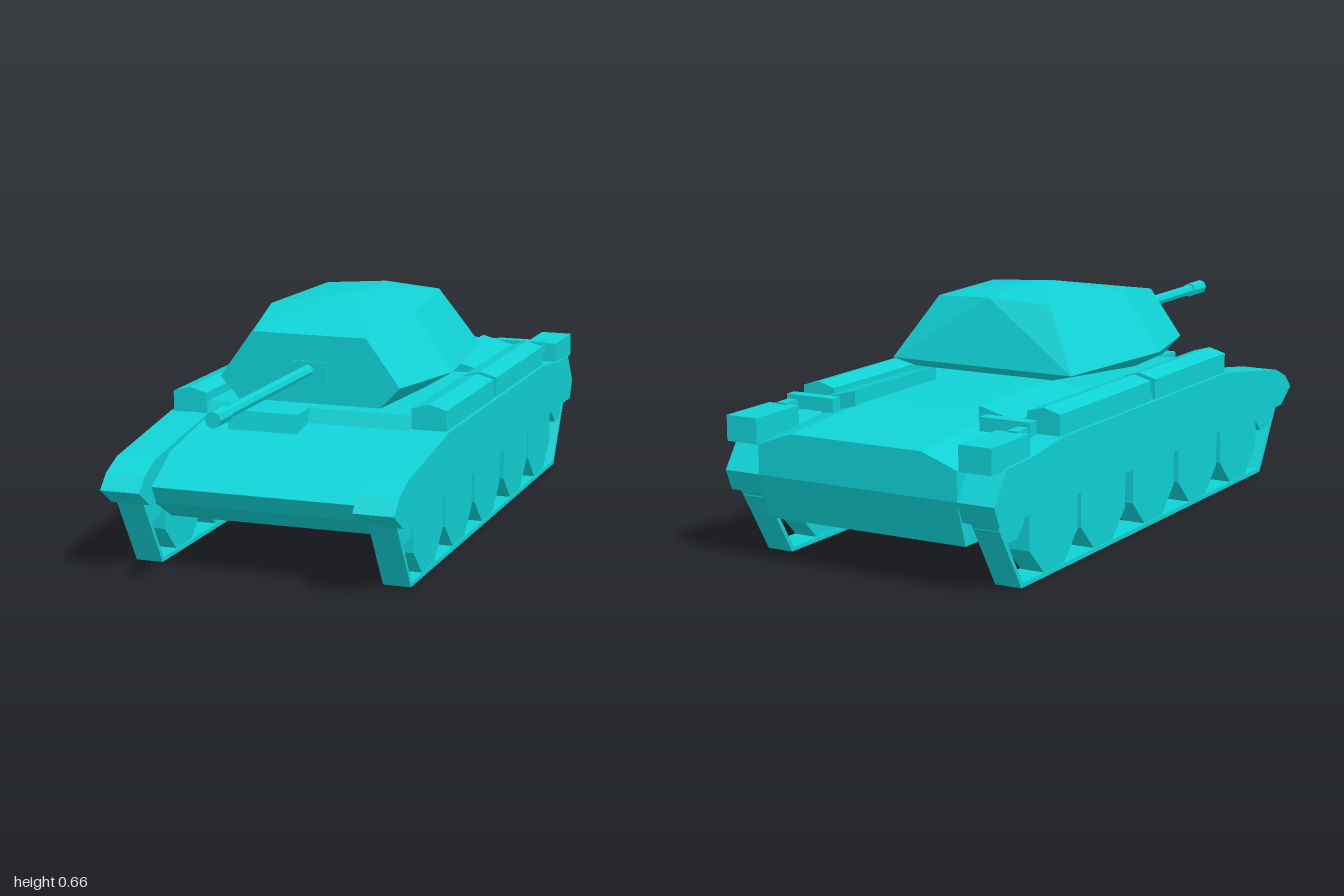
import * as THREE from 'three';
import { ConvexGeometry } from 'three/addons/geometries/ConvexGeometry.js';

const paint = new THREE.MeshStandardMaterial({ color: 0x10d2d5, flatShading: true });

function part(name, geometry, parent) {
  const mesh = new THREE.Mesh(geometry, paint);
  mesh.name = name;
  parent.add(mesh);
  return mesh;
}

const shapeOf = pts => new THREE.Shape(pts.map(p => new THREE.Vector2(p[0], p[1])));

// Side profile given as [z, y], extruded across x from x0 to x1
function acrossX(pts, x0, x1) {
  const g = new THREE.ExtrudeGeometry(shapeOf(pts), { depth: x1 - x0, bevelEnabled: false });
  return g.rotateY(-Math.PI / 2).translate(x1, 0, 0);
}

// Cross-section given as [x, y], extruded along z from z0 to z1
function alongZ(pts, z0, z1) {
  const g = new THREE.ExtrudeGeometry(shapeOf(pts), { depth: z1 - z0, bevelEnabled: false });
  return g.translate(0, 0, z0);
}

function box(x0, x1, y0, y1, z0, z1) {
  return new THREE.BoxGeometry(x1 - x0, y1 - y0, z1 - z0)
    .translate((x0 + x1) / 2, (y0 + y1) / 2, (z0 + z1) / 2);
}

// Faceted solid through points [x, y, z] and their mirror images about x = cx
function mirroredHull(pts, cx = 0) {
  const all = [];
  for (const [x, y, z] of pts) {
    all.push(new THREE.Vector3(cx + x, y, z));
    if (x !== 0) all.push(new THREE.Vector3(cx - x, y, z));
  }
  return new ConvexGeometry(all);
}

// Eight-sided wheel with a flat side down
function wheel(z, y, flat) {
  const r = flat / Math.cos(Math.PI / 8);
  return new THREE.CylinderGeometry(r, r, 0.07, 8)
    .rotateY(Math.PI / 8).rotateZ(Math.PI / 2).translate(0.36, y, z);
}

// Everything that repeats on each flank, built for the +x flank
function buildFlank() {
  const flank = new THREE.Group();
  part('fender', acrossX([
    [0.75, 0.192], [0.82, 0.24], [0.78, 0.28], [0.71, 0.31], [0.35, 0.362], [-0.65, 0.362],
    [-0.8, 0.342], [-0.94, 0.335], [-1, 0.25], [-0.975, 0.192],
  ], 0.3, 0.414), flank);

  // Ridged stowage bins on the fender
  const bin = [[0.305, 0.355], [0.405, 0.355], [0.405, 0.42], [0.355, 0.434], [0.305, 0.42]];
  part('frontBin', alongZ(bin, -0.105, 0.35), flank);
  part('rearBin', alongZ(bin, -0.65, -0.135), flank);
  part('binJoint', box(0.31, 0.395, 0.355, 0.38, -0.14, -0.1), flank);

  // Sloped rail beside the engine deck
  part('deckRail', alongZ([[0.195, 0.385], [0.305, 0.355], [0.305, 0.405], [0.195, 0.434]], -0.71, -0.3), flank);

  // Rear box and exhaust pipe
  part('rearBox', box(0.31, 0.406, 0.33, 0.4, -1, -0.81), flank);
  part('exhaustPipe', box(0.345, 0.375, 0.375, 0.405, -0.82, -0.74), flank);
  part('exhaustElbow', box(0.23, 0.38, 0.38, 0.418, -0.765, -0.73), flank);

  // Thin track band, open under the fender
  part('track', acrossX([
    [0.755, 0.2], [0.632, 0], [-0.84, 0], [-0.965, 0.2],
    [-0.95, 0.2], [-0.833, 0.012], [0.625, 0.012], [0.74, 0.2],
  ], 0.32, 0.398), flank);

  for (const z of [0.475, 0.195, -0.09, -0.39, -0.665]) part('roadWheel', wheel(z, 0.138, 0.127), flank);
  part('frontIdler', wheel(0.665, 0.195, 0.065), flank);
  part('rearSprocket', wheel(-0.885, 0.2, 0.065), flank);
  return flank;
}

// Mirror a flank to -x, reversing the corner order so faces still point outward
function mirrorFlank(flank) {
  const copy = new THREE.Group();
  for (const m of flank.children) {
    const g = m.geometry.index ? m.geometry.toNonIndexed() : m.geometry.clone();
    const p = g.attributes.position;
    const v = [new THREE.Vector3(), new THREE.Vector3(), new THREE.Vector3()];
    for (let i = 0; i < p.count; i += 3) {
      v.forEach((q, k) => q.fromBufferAttribute(p, i + k));
      [v[0], v[2], v[1]].forEach((q, k) => p.setXYZ(i + k, -q.x, q.y, q.z));
    }
    g.computeVertexNormals();
    part(m.name, g, copy);
  }
  return copy;
}

export function createModel() {
  const model = new THREE.Group();
  model.name = 'tank';

  // Hull body
  const hull = new THREE.Group();
  hull.name = 'hull';
  model.add(hull);
  part('lowerHull', acrossX([
    [0.6, 0.126], [0.71, 0.19], [0.74, 0.24], [0.61, 0.311], [0.35, 0.356], [-0.65, 0.356],
    [-0.97, 0.325], [-1, 0.25], [-0.96, 0.126],
  ], -0.305, 0.305), hull);
  part('upperHull', acrossX([[0.35, 0.35], [0.33, 0.395], [-0.65, 0.395], [-0.65, 0.35]], -0.305, 0.305), hull);
  part('engineDeck', mirroredHull([
    [0.2, 0.395, -0.65], [0.305, 0.365, -0.65], [0.305, 0.25, -0.65],
    [0.2, 0.37, -1], [0.305, 0.332, -1], [0.305, 0.25, -1],
  ]), hull);
  part('driverHood', acrossX([[0.33, 0.335], [0.435, 0.335], [0.425, 0.395], [0.33, 0.398]], -0.205, 0), hull);

  // Flanks with running gear
  const left = buildFlank();
  left.name = 'leftFlank';
  const right = mirrorFlank(left);
  right.name = 'rightFlank';
  model.add(left, right);

  // Turret: underside, widest line, roof edge and roof ridge
  const turret = new THREE.Group();
  turret.name = 'turret';
  model.add(turret);
  part('turretShell', mirroredHull([
    [0.21, 0.406, 0.32], [0.255, 0.418, 0.05], [0.22, 0.445, -0.37],
    [0.267, 0.466, 0.32], [0.333, 0.466, 0.05], [0.287, 0.466, -0.39],
    [0.167, 0.6, 0.32], [0.218, 0.634, 0.05], [0.178, 0.642, -0.315],
    [0, 0.664, -0.06], [0, 0.652, -0.342],
  ], -0.006), turret);
  part('mantlet', box(-0.066, 0.05, 0.466, 0.526, 0.29, 0.325), turret);

  // Gun
  const tube = (r, z0, z1) => new THREE.CylinderGeometry(r, r, z1 - z0, 8)
    .rotateX(Math.PI / 2).translate(-0.008, 0.5, (z0 + z1) / 2);
  part('gunBarrel', tube(0.017, 0.3, 0.94), turret);
  part('muzzle', tube(0.022, 0.92, 1), turret);

  return model;
}
